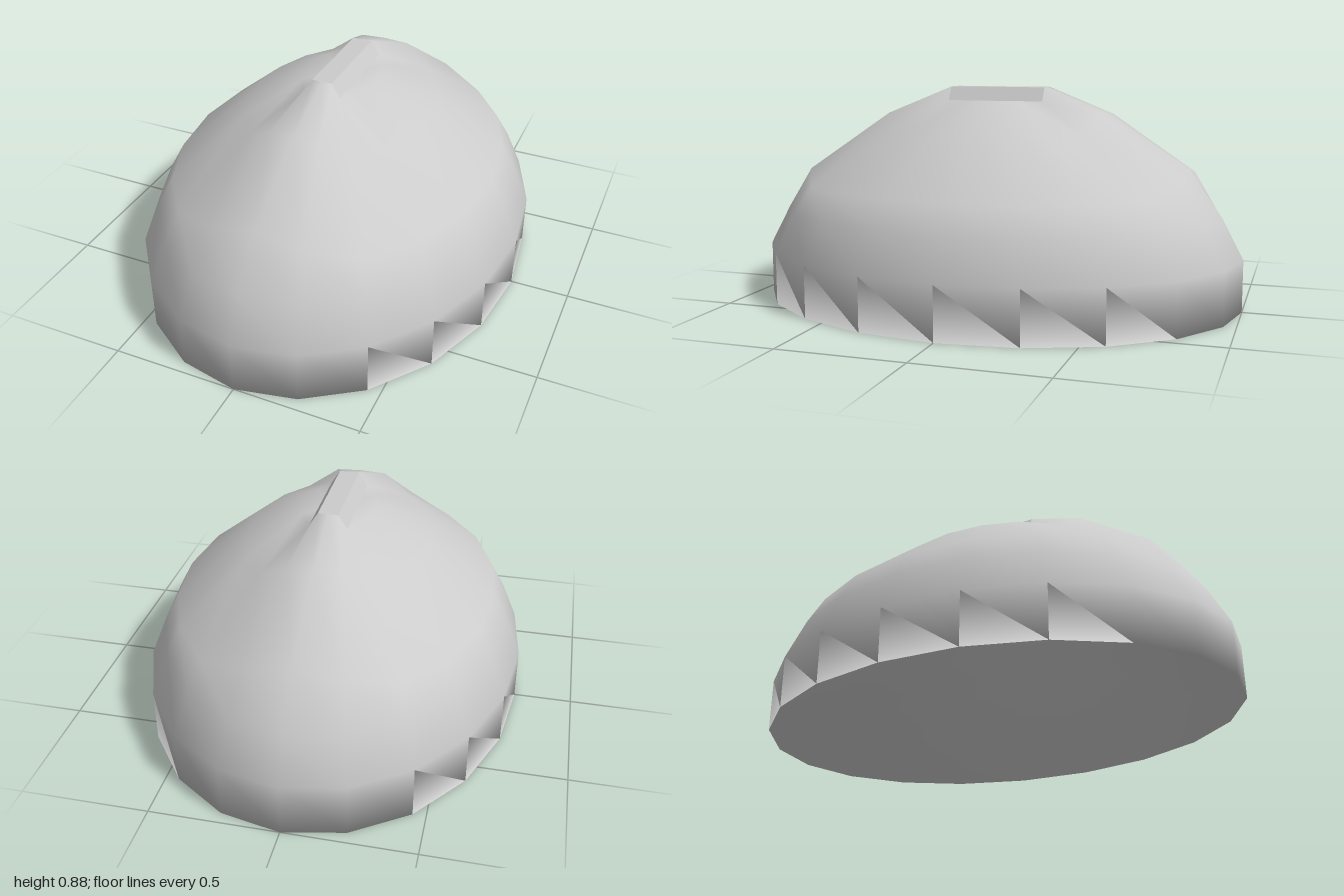
import * as THREE from 'three';

const SIDES = 20;

// Surface through rows of points; closed joins each row's end to its start
function loft(rows, closed) {
  const n = rows[0].length;
  const index = [];
  for (let i = 0; i < rows.length - 1; i++) {
    for (let j = 0; j < (closed ? n : n - 1); j++) {
      const k = (j + 1) % n;
      const a = i * n + j, b = (i + 1) * n + j, c = (i + 1) * n + k, d = i * n + k;
      index.push(a, b, c, a, c, d);
    }
  }
  const g = new THREE.BufferGeometry();
  g.setAttribute('position', new THREE.Float32BufferAttribute(rows.flat(2), 3));
  g.setIndex(index);
  g.computeVertexNormals();
  return g;
}

// Oval ring; raised points replace those nearest the middle of the front and back
function ovalRing([r, y, raised = []]) {
  return Array.from({ length: SIDES }, (_, j) => {
    const a = (j / SIDES) * Math.PI * 2;
    const x = Math.sin(a), z = Math.cos(a);
    const step = Math.min(j % 10, 10 - (j % 10));
    if (step < raised.length) {
      const [px, py, pz] = raised[step];
      return [Math.sign(x) * px, py, Math.sign(z) * pz];
    }
    return [0.765 * r * x, y, r * z];
  });
}

export function createModel() {
  const group = new THREE.Group();
  const add = (geometry, name) => {
    const material = new THREE.MeshStandardMaterial({ color: 0xcccccc, side: THREE.DoubleSide });
    const mesh = new THREE.Mesh(geometry, material);
    mesh.name = name;
    group.add(mesh);
  };

  // Domed shell: outside from crown to base, then a conical hollow back up;
  // the upper rings lift into flared ridges at the front and back
  const profile = [
    [0, 0.82],
    [0.2, 0.82, [[0, 0.875, 0.2], [0.04, 0.875, 0.2], [0.075, 0.82, 0.2]]],
    [0.49, 0.7, [[0, 0.77, 0.455], [0.104, 0.765, 0.455]]],
    [0.84, 0.478, [[0, 0.56, 0.78], [0.187, 0.53, 0.78]]],
    [0.915, 0.37],
    [1, 0.21],
    [1, 0],
    [0, 0.81],
  ];
  add(loft(profile.map(ovalRing), true), 'domeShell');

  // Straight ridge over the crown, joining the two flared ridges
  const edges = [[-0.075, 0.82], [-0.04, 0.875], [0.04, 0.875], [0.075, 0.82]];
  for (let i = 0; i < 3; i++) {
    const rows = [-0.2, 0.2].map((z) => [edges[i], edges[i + 1]].map(([x, y]) => [x, y, z]));
    add(loft(rows, false), ['rightRidgeSlope', 'ridgeTop', 'leftRidgeSlope'][i]);
  }

  return group;
}
